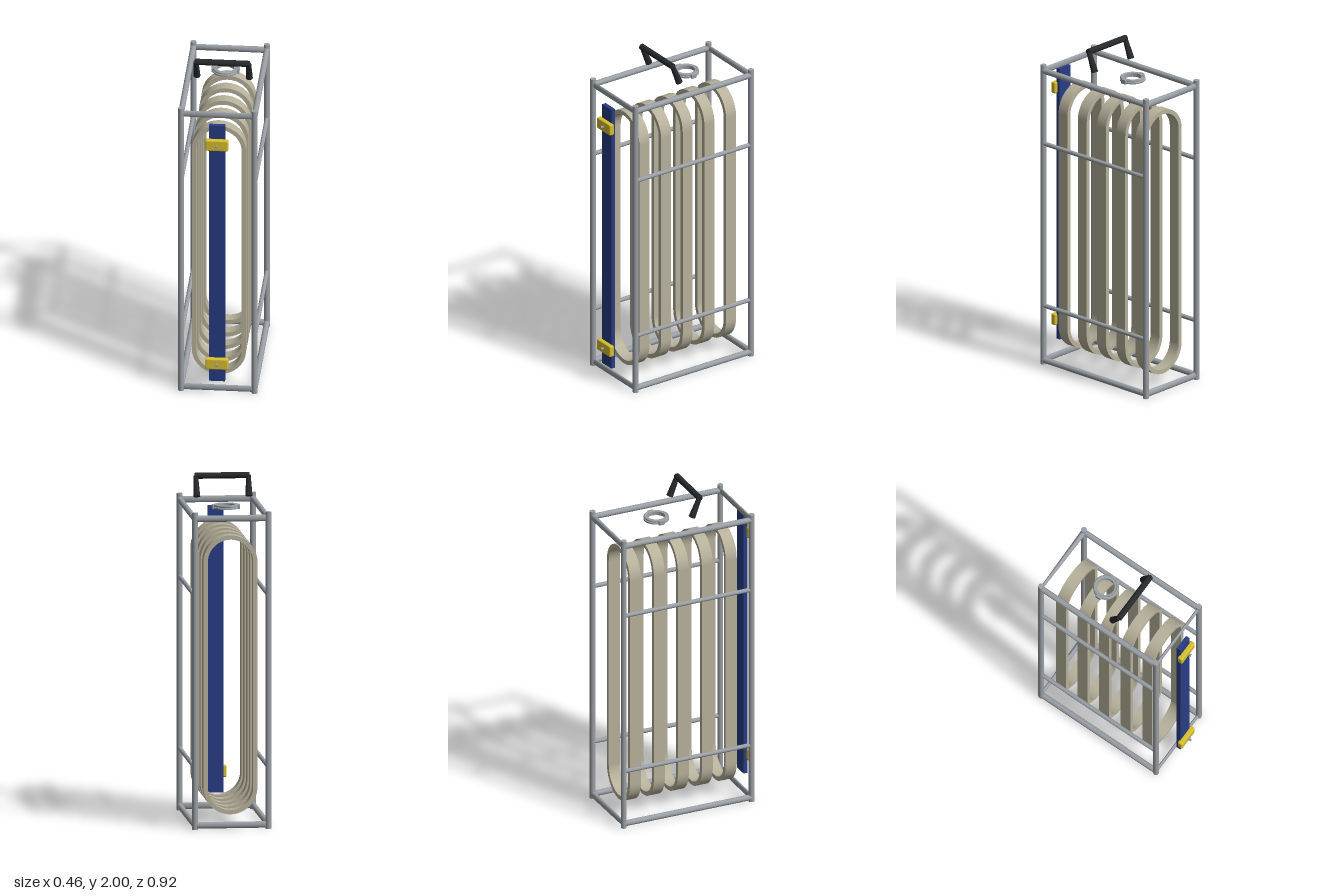
import * as THREE from 'three';
import { RoundedBoxGeometry } from 'three/addons/geometries/RoundedBoxGeometry.js';

const material = (color) => new THREE.MeshStandardMaterial({ color });

export function createModel() {
  const model = new THREE.Group();
  const steel = material(0x9aa0a6);
  const cream = material(0xb8b29c);
  const blue = material(0x283c84);
  const yellow = material(0xd8c02e);
  const black = material(0x26292c);

  function add(name, geometry, mat, x = 0, y = 0, z = 0) {
    const mesh = new THREE.Mesh(geometry, mat);
    mesh.name = name;
    mesh.position.set(x, y, z);
    model.add(mesh);
    return mesh;
  }

  // Round bar between two points, optionally tapered
  function bar(name, from, to, r0, mat, r1 = r0) {
    const a = new THREE.Vector3(...from), b = new THREE.Vector3(...to);
    const dir = b.clone().sub(a);
    const mesh = add(name, new THREE.CylinderGeometry(r1, r0, dir.length(), 24), mat);
    mesh.position.copy(a).add(b).multiplyScalar(0.5);
    mesh.quaternion.setFromUnitVectors(new THREE.Vector3(0, 1, 0), dir.normalize());
    return mesh;
  }

  // Cross rail with an oval section whose depth may change along its length
  function crossRail(name, y, z, depthLeft, depthRight) {
    const geo = new THREE.CylinderGeometry(0.019, 0.019, 0.424, 24);
    geo.rotateZ(-Math.PI / 2);
    const p = geo.attributes.position;
    for (let i = 0; i < p.count; i++) {
      const t = p.getX(i) / 0.424 + 0.5;
      p.setZ(i, p.getZ(i) / 0.019 * THREE.MathUtils.lerp(depthLeft, depthRight, t));
    }
    geo.computeVertexNormals();
    add(name, geo, steel, 0, y, z);
  }

  // Frame: corner posts, side rails and cross rails
  const px = 0.212, front = 0.365, back = -0.445;
  for (const x of [-px, px]) {
    for (const z of [front, back]) bar('cornerPost', [x, 0, z], [x, 1.84, z], 0.017, steel);
    for (const y of [0.025, 1.804]) bar('sideRail', [x, y, back], [x, y, front], 0.017, steel);
    for (const y of [0.36, 1.357]) bar('middleRail', [x, y, back], [x, y, front], 0.0125, steel);
  }
  for (const y of [0.025, 1.804]) {
    crossRail('frontRail', y, front, 0.0085, 0.0085);
    crossRail('backRail', y, back, 0.008, 0.0165);
  }

  // Five flat long loops standing one behind the other
  function stadium(target, r) {
    const low = 0.233, high = 1.54;
    target.moveTo(r, low);
    target.lineTo(r, high);
    target.absarc(0, high, r, 0, Math.PI, false);
    target.lineTo(-r, low);
    target.absarc(0, low, r, Math.PI, Math.PI * 2, false);
    return target;
  }
  const loopShape = stadium(new THREE.Shape(), 0.156);
  loopShape.holes.push(stadium(new THREE.Path(), 0.131));
  const loopGeo = new THREE.ExtrudeGeometry(loopShape, { depth: 0.07, bevelEnabled: false, curveSegments: 32 });
  for (let i = 0; i < 5; i++) add('loop', loopGeo, cream, 0, 0, 0.228 - i * 0.152);

  // Front strap with two clamps and their pins
  add('strap', new THREE.BoxGeometry(0.092, 1.665, 0.025), blue, 0, 0.9275, 0.405);
  for (const y of [0.215, 1.641]) {
    add('clamp', new RoundedBoxGeometry(0.132, 0.069, 0.032, 3, 0.008), yellow, 0, y, 0.427);
    bar('clampPin', [0, y, 0.43], [0, y, 0.461], 0.007, steel);
  }

  // Tilted carrying handle
  bar('handleGrip', [-0.157, 1.982, 0.063], [0.157, 1.982, 0.063], 0.018, black);
  for (const s of [-1, 1]) {
    bar('handleLeg', [s * 0.151, 1.868, 0.016], [s * 0.152, 1.982, 0.063], 0.02, black, 0.014);
  }

  // Open ring fitting with a groove round its rim and two side lugs
  const profile = [
    [0.05, 1.82], [0.073, 1.82], [0.073, 1.828], [0.066, 1.83], [0.066, 1.834],
    [0.073, 1.836], [0.072, 1.842], [0.066, 1.845], [0.06, 1.842], [0.05, 1.842], [0.05, 1.82],
  ].map(([r, y]) => new THREE.Vector2(r, y));
  // Each profile step is its own band so that its edges stay sharp
  for (let i = 0; i + 1 < profile.length; i++) {
    add('ringFitting', new THREE.LatheGeometry([profile[i], profile[i + 1]], 48), steel, 0, 0, -0.14);
  }
  for (const s of [-1, 1]) {
    add('ringLug', new RoundedBoxGeometry(0.014, 0.028, 0.036, 2, 0.004), steel, s * 0.074, 1.83, -0.14);
  }

  return model;
}
